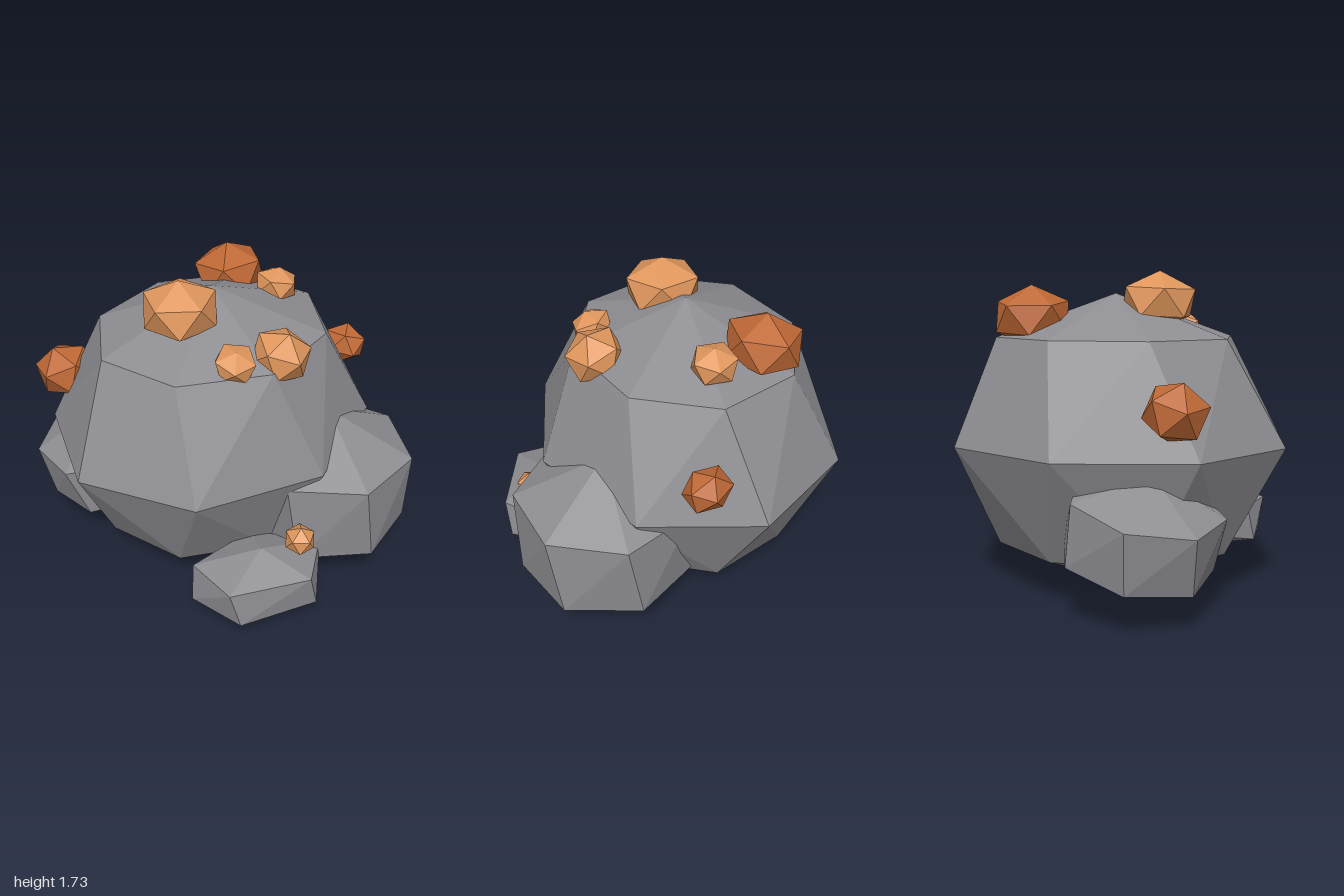
import * as THREE from 'three';
import { ConvexGeometry } from 'three/addons/geometries/ConvexGeometry.js';

export function createModel() {
  const model = new THREE.Group();
  model.name = 'boulderCluster';

  const paint = (name, color) => {
    const m = new THREE.MeshStandardMaterial({ color });
    m.name = name;
    return m;
  };
  const stone = paint('stoneGrey', 0x8e8d92);
  const paleOrange = paint('paleOrange', 0xdf965c);
  const rustOrange = paint('rustOrange', 0xbf6835);

  // Faceted stone: two poles plus twisted rings, each [height, radius, start angle], wrapped in a hull
  function addRock(name, position, [rx, ry, rz], sides, rings, { skew = 0, tilt = 0 } = {}) {
    const points = [new THREE.Vector3(0, ry, 0), new THREE.Vector3(0, -ry, 0)];
    for (const [height, radius, start] of rings) {
      for (let i = 0; i < sides; i++) {
        const a = THREE.MathUtils.degToRad(start + (i * 360) / sides);
        const c = Math.cos(a) * radius;
        const s = Math.sin(a) * radius;
        points.push(new THREE.Vector3(c * rx, height * ry, s * rz + c * skew));
      }
    }
    const mesh = new THREE.Mesh(new ConvexGeometry(points), stone);
    mesh.name = name;
    mesh.position.set(...position);
    mesh.rotation.z = tilt;
    model.add(mesh);
  }

  // Main boulder
  addRock('mainBoulder', [0, 0.805, -0.11], [0.94, 0.805, 0.866], 8,
    [[0.707, 0.707, -11.5], [0, 1, 22.5], [-0.707, 0.707, -11.5]], { skew: -0.078 });

  // Smaller stones leaning against it
  addRock('leftStone', [0.53, 0.53, 0.32], [0.56, 0.45, 0.565], 7,
    [[0.47, 0.866, -16], [-0.54, 0.85, -25]]);
  addRock('rightStone', [-0.55, 0.43, -0.45], [0.465, 0.31, 0.465], 7,
    [[0.5, 0.866, 188], [-0.5, 0.866, 180]], { tilt: 0.25 });
  addRock('frontStone', [0, 0.25, 0.72], [0.44, 0.205, 0.29], 5,
    [[0.52, 0.866, 58], [-0.48, 0.866, 48]]);

  // Orange nodules: twenty-sided lumps standing on a vertex
  const lump = new THREE.IcosahedronGeometry(1, 0);
  lump.rotateX(-Math.atan((1 + Math.sqrt(5)) / 2));
  const nodules = [
    // material, position, size, rotation
    [paleOrange, [-0.21, 1.565, 0.01], [0.22, 0.165, 0.225], [0, 0.3, 0.05]],
    [rustOrange, [0.24, 1.485, -0.5], [0.225, 0.17, 0.215], [-0.15, 0.8, 0.1]],
    [paleOrange, [0.43, 1.49, -0.24], [0.13, 0.1, 0.13], [0.1, 0.5, -0.2]],
    [paleOrange, [0.22, 1.405, 0.36], [0.165, 0.14, 0.165], [0.3, 0.2, -0.2]],
    [paleOrange, [-0.04, 1.42, 0.39], [0.12, 0.09, 0.12], [0.3, 0.9, 0.1]],
    [rustOrange, [-0.77, 1.05, -0.44], [0.17, 0.155, 0.185], [-0.2, 0.4, 0.4]],
    [rustOrange, [0.86, 1.05, -0.2], [0.115, 0.12, 0.14], [0, 0.7, -0.4]],
    [paleOrange, [0.2, 0.5, 0.765], [0.088, 0.083, 0.088], [0.1, 0.3, 0]],
  ];
  nodules.forEach(([material, position, size, rotation], i) => {
    const mesh = new THREE.Mesh(lump, material);
    mesh.name = `nodule${i + 1}`;
    mesh.position.set(...position);
    mesh.scale.set(...size);
    mesh.rotation.set(...rotation);
    model.add(mesh);
  });

  return model;
}
